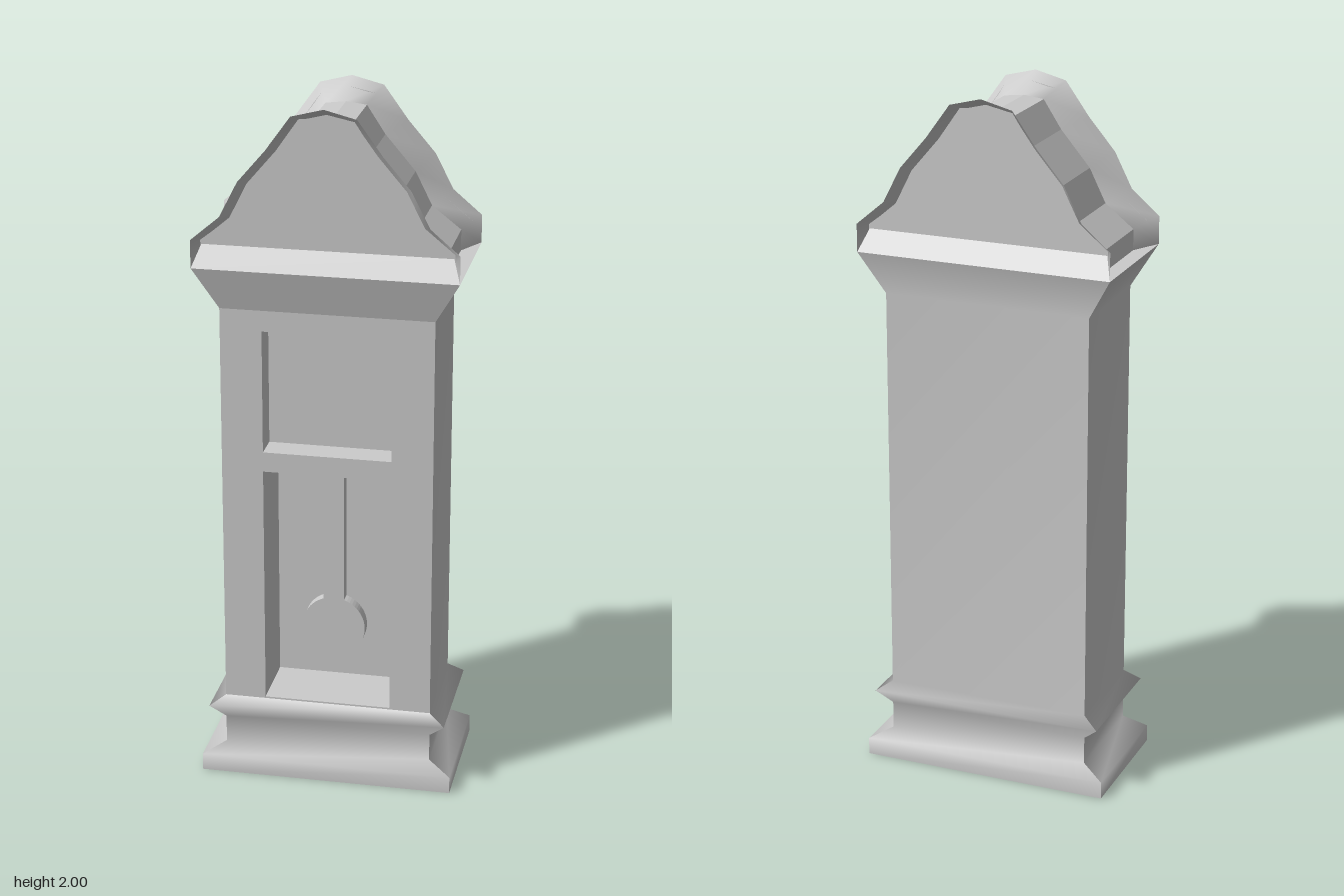
import * as THREE from 'three';

const material = new THREE.MeshStandardMaterial({ color: 0xcccccc, side: THREE.DoubleSide });
const flatMaterial = new THREE.MeshStandardMaterial({ color: 0xcccccc, side: THREE.DoubleSide, flatShading: true });

function add(group, name, geometry, mat = material) {
  const mesh = new THREE.Mesh(geometry, mat);
  mesh.name = name;
  group.add(mesh);
  return mesh;
}

// Surface through rows of points; front side is (along row) x (row to row)
function loft(rows) {
  const n = rows[0].length;
  const index = [];
  for (let i = 0; i < rows.length - 1; i++) {
    for (let j = 0; j < n - 1; j++) {
      const a = i * n + j, b = a + 1, c = b + n, d = a + n;
      index.push(a, b, c, a, c, d);
    }
  }
  const g = new THREE.BufferGeometry();
  g.setAttribute('position', new THREE.Float32BufferAttribute(rows.flat(2), 3));
  g.setIndex(index);
  g.computeVertexNormals();
  return g;
}

function rect(Type, x0, x1, y0, y1) {
  const s = new Type();
  s.moveTo(x0, y0).lineTo(x1, y0).lineTo(x1, y1).lineTo(x0, y1).closePath();
  return s;
}

// Body sections: height, half width, half depth
const plinth = [[0, 0.365, 0.195], [0.05, 0.365, 0.195], [0.085, 0.3, 0.162],
  [0.165, 0.3, 0.162], [0.205, 0.345, 0.186], [0.235, 0.3, 0.162]];
const cornice = [[1.42, 0.3, 0.162], [1.54, 0.37, 0.195]];
const corners = [[-1, 1], [1, 1], [1, -1], [-1, -1]];

function wall(sections, k) {
  const ends = [corners[k], corners[(k + 1) % 4]];
  return loft(sections.map(([y, w, d]) => ends.map(([sx, sz]) => [sx * w, y, sz * d])));
}

// Crown outlines (right half, bottom to top): flared rim and narrower core
const outer = [[0.37, 1.54], [0.37, 1.62], [0.288, 1.69], [0.237, 1.79], [0.16, 1.88], [0.09, 1.977], [0, 2]];
const inner = [[0.325, 1.54], [0.325, 1.6], [0.242, 1.665], [0.195, 1.76], [0.11, 1.86], [0.058, 1.94], [0, 1.947]];
const RIM_Z = 0.195, CORE_Z = 0.11;

function outline(t) {
  const half = outer.map(([x, y], i) => [
    THREE.MathUtils.lerp(x, inner[i][0], t), THREE.MathUtils.lerp(y, inner[i][1], t)]);
  return [...half.map(([x, y]) => [-x, y]), ...half.slice(0, -1).reverse()];
}
const atZ = (pts, z) => pts.map(([x, y]) => [x, y, z]);

function buildCrown() {
  const crown = new THREE.Group();
  crown.name = 'crown';
  add(crown, 'crownCore', loft([atZ(outline(1), CORE_Z), atZ(outline(1), -CORE_Z)]), flatMaterial);

  const t = 0.43;
  const faceZ = THREE.MathUtils.lerp(RIM_Z, CORE_Z, t);
  for (const side of ['front', 'back']) {
    const end = new THREE.Group();
    end.name = side + 'CrownEnd';
    if (side === 'back') end.rotation.y = Math.PI;
    // Flared rim, set-back face and sloping sill
    add(end, 'crownRim', loft([atZ(outline(0), RIM_Z), atZ(outline(1), CORE_Z)]));
    const face = new THREE.Shape(outline(t).map(([x, y]) => new THREE.Vector2(x, y)));
    add(end, 'crownFace', new THREE.ShapeGeometry(face)).position.z = faceZ;
    add(end, 'crownSill', loft([
      [[-0.37, 1.54, RIM_Z], [0.37, 1.54, RIM_Z]],
      [[-0.348, 1.6, faceZ], [0.348, 1.6, faceZ]]]));
    // Ledge on top of the cornice, one side per end
    add(end, 'corniceLedge', loft([
      [[0.325, 1.54, CORE_Z], [0.37, 1.54, RIM_Z]],
      [[0.325, 1.54, -CORE_Z], [0.37, 1.54, -RIM_Z]]]));
    crown.add(end);
  }
  return crown;
}

// Open-fronted recess: four walls and a back
function buildNiche(name, w, y0, y1, zFront, zBack) {
  const niche = new THREE.Group();
  niche.name = name;
  const loop = [[-w, y0], [w, y0], [w, y1], [-w, y1], [-w, y0]];
  add(niche, name + 'Walls', loft([atZ(loop, zBack), atZ(loop, zFront)]).toNonIndexed(), flatMaterial);
  add(niche, name + 'Back', new THREE.ShapeGeometry(rect(THREE.Shape, -w, w, y0, y1))).position.z = zBack;
  // Walls face the inside of the recess
  const g = niche.children[0].geometry;
  const p = g.attributes.position;
  for (let i = 0; i < p.count; i += 3) {
    const a = new THREE.Vector3().fromBufferAttribute(p, i);
    const c = new THREE.Vector3().fromBufferAttribute(p, i + 2);
    p.setXYZ(i, c.x, c.y, c.z);
    p.setXYZ(i + 2, a.x, a.y, a.z);
  }
  g.computeVertexNormals();
  return orientInward(niche, (y0 + y1) / 2);
}

// Flip wall triangles whose normals point away from the recess axis
function orientInward(niche, yMid) {
  const g = niche.children[0].geometry;
  const p = g.attributes.position, n = g.attributes.normal;
  if (p.getX(0) * n.getX(0) + (p.getY(0) - yMid) * n.getY(0) > 0) {
    const order = [];
    for (let i = 0; i < p.count; i += 3) order.push(i, i + 2, i + 1);
    g.setIndex(order);
    niche.children[0].geometry = g.toNonIndexed();
    niche.children[0].geometry.computeVertexNormals();
  }
  return niche;
}

function buildPendulum() {
  const r = 0.091, half = 0.03, cy = 0.437;
  const a = Math.acos(half / r);
  const s = new THREE.Shape();
  s.moveTo(half, 0.945);
  s.lineTo(-half, 0.945);
  s.lineTo(-half, cy + r * Math.sin(a));
  s.absarc(0, cy, r, Math.PI - a, 2 * Math.PI + a, false);
  s.closePath();
  return new THREE.ExtrudeGeometry(s, { depth: 0.035, bevelEnabled: false, curveSegments: 28 });
}

export function createModel() {
  const model = new THREE.Group();
  model.name = 'longcaseClock';

  // Case walls; the front is split around the recesses
  const names = ['front', 'left', 'back', 'right'];
  names.forEach((name, k) => {
    if (k === 0) {
      add(model, 'frontPlinth', wall(plinth, k));
      add(model, 'frontCornice', wall(cornice, k));
    } else {
      add(model, name + 'Wall', wall([...plinth, ...cornice], k));
    }
  });
  const panel = rect(THREE.Shape, -0.3, 0.3, 0.235, 1.42);
  panel.holes.push(rect(THREE.Path, -0.182, 0.182, 1.003, 1.36), rect(THREE.Path, -0.182, 0.182, 0.24, 0.945));
  add(model, 'frontPanel', new THREE.ShapeGeometry(panel)).position.z = 0.162;
  add(model, 'underside', loft([
    [[-0.365, 0, -0.195], [0.365, 0, -0.195]], [[-0.365, 0, 0.195], [0.365, 0, 0.195]]]));

  // Dial recess, pendulum recess and pendulum
  model.add(buildNiche('dialRecess', 0.182, 1.003, 1.36, 0.162, 0.08));
  model.add(buildNiche('pendulumRecess', 0.182, 0.24, 0.945, 0.162, -0.03));
  add(model, 'pendulum', buildPendulum()).position.z = 0.03;

  model.add(buildCrown());
  return model;
}
